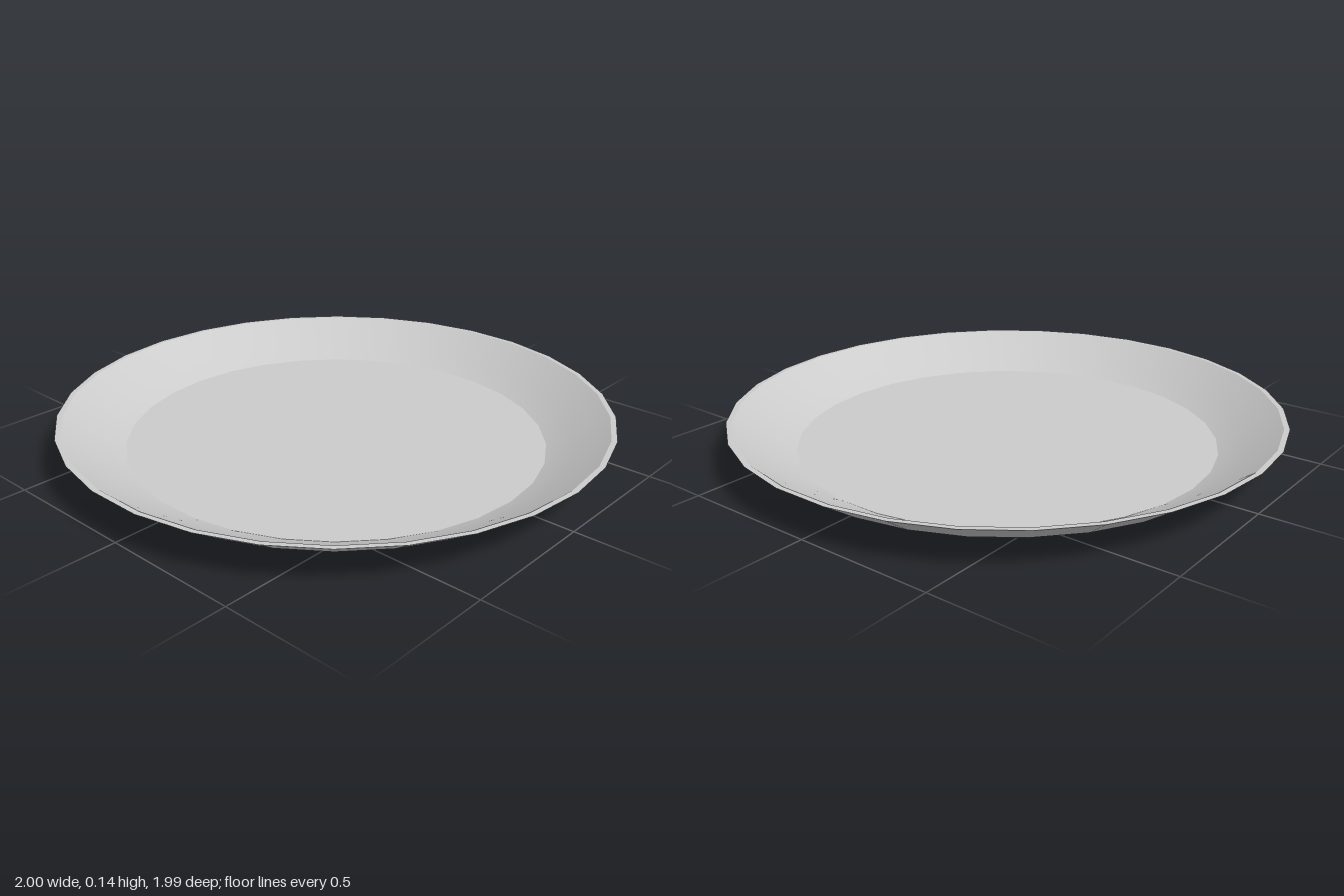
import * as THREE from 'three';

const SIDES = 30;

export function createModel() {
  const plate = new THREE.Group();
  plate.name = 'plate';
  const material = new THREE.MeshStandardMaterial({ color: 0xcccccc });

  // Profile strips [radius, height], from under the base round to the floor;
  // each strip is its own lathe, so the edges between them stay sharp.
  const strips = {
    base: [[0, 0], [0.78, 0]],
    outerWall: [[0.78, 0], [0.865, 0.045], [1, 0.137]],
    rim: [[1, 0.137], [0.98, 0.137]],
    innerWall: [[0.98, 0.137], [0.85, 0.056], [0.765, 0.018]],
    floor: [[0.765, 0.018], [0, 0.018]],
  };

  for (const [name, profile] of Object.entries(strips)) {
    const points = profile.map(([r, y]) => new THREE.Vector2(r, y));
    // start the ring with a corner on the x axis
    const geometry = new THREE.LatheGeometry(points, SIDES, Math.PI / 2);
    const mesh = new THREE.Mesh(geometry, material);
    mesh.name = name;
    plate.add(mesh);
  }
  return plate;
}
